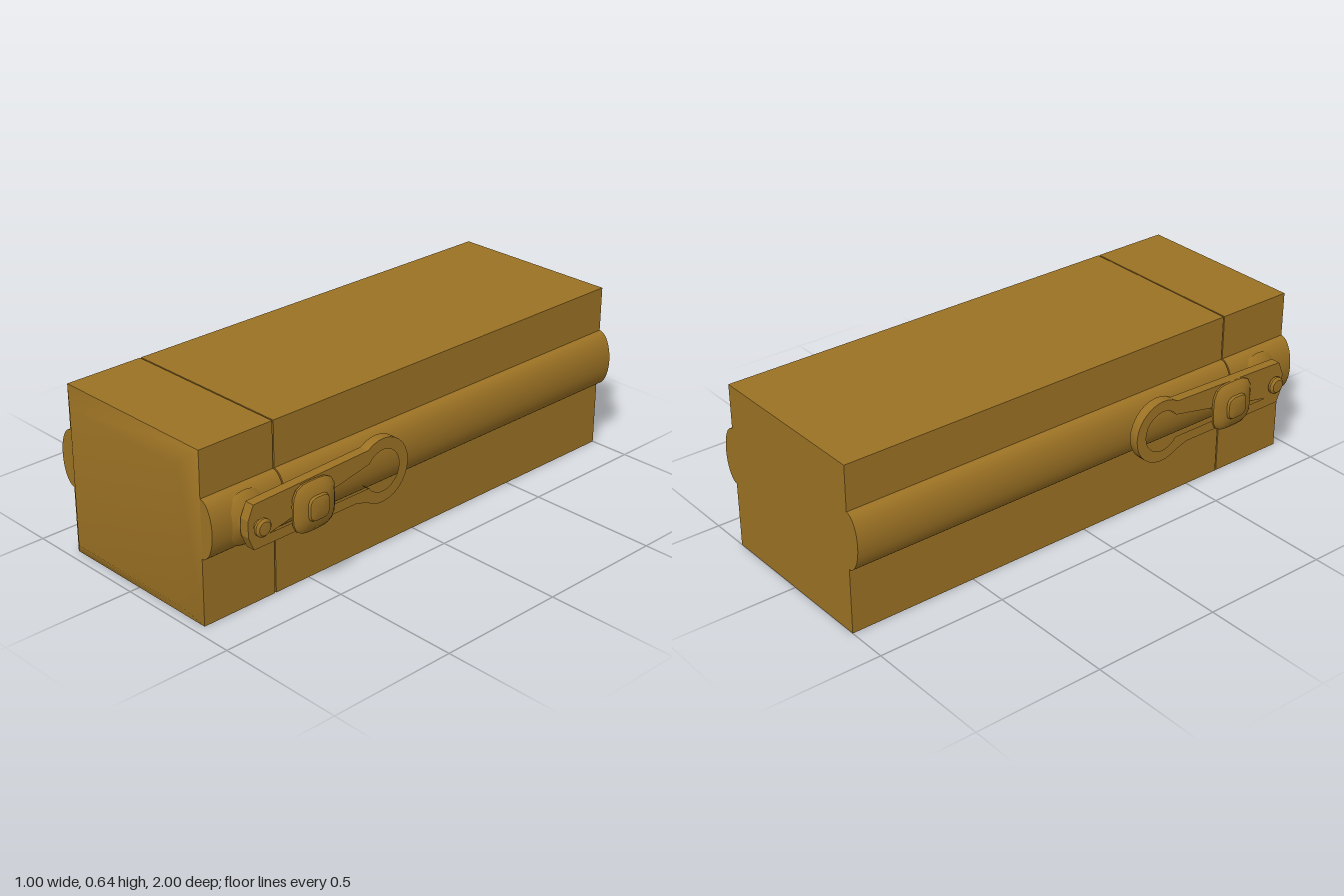
import * as THREE from 'three';
import { toCreasedNormals } from 'three/addons/utils/BufferGeometryUtils.js';

const material = new THREE.MeshStandardMaterial({ color: 0x9c7224 });
const RIB_Y = 0.361;

function part(name, geometry, parent) {
  const mesh = new THREE.Mesh(geometry, material);
  mesh.name = name;
  parent.add(mesh);
  return mesh;
}

// Box section with a rounded rib along each side
function bodySection() {
  const s = new THREE.Shape();
  s.moveTo(-0.342, 0);
  s.lineTo(0.342, 0);
  s.lineTo(0.342, RIB_Y - 0.109);
  s.absellipse(0.342, RIB_Y, 0.055, 0.109, -Math.PI / 2, Math.PI / 2, false);
  s.lineTo(0.342, 0.642);
  s.lineTo(-0.342, 0.642);
  s.lineTo(-0.342, RIB_Y + 0.109);
  s.absellipse(-0.342, RIB_Y, 0.055, 0.109, Math.PI / 2, Math.PI * 1.5, false);
  s.closePath();
  return s;
}

function bodyBlock(z0, z1) {
  const g = new THREE.ExtrudeGeometry(bodySection(), { depth: z1 - z0, bevelEnabled: false, curveSegments: 12 });
  return toCreasedNormals(g.translate(0, 0, z0), 0.6);
}

// Chamfered front with soft normals
function frontPanel() {
  const positions = [];
  for (const [w, h, z] of [[0.342, 0.321, 0.96], [0.28, 0.258, 1]]) {
    for (const [sx, sy] of [[-1, -1], [1, -1], [1, 1], [-1, 1]]) {
      positions.push(sx * w, 0.321 + sy * h, z);
    }
  }
  const index = [4, 5, 6, 4, 6, 7];
  for (let i = 0; i < 4; i++) {
    const j = (i + 1) % 4;
    index.push(i, j, j + 4, i, j + 4, i + 4);
  }
  const g = new THREE.BufferGeometry();
  g.setAttribute('position', new THREE.Float32BufferAttribute(positions, 3));
  g.setIndex(index);
  g.computeVertexNormals();
  return g;
}

// Keyhole strap drawn in the side plane, centred on its ring
function strapGeometry() {
  const s = new THREE.Shape();
  s.moveTo(-0.12, 0.082);
  s.absarc(0, 0, 0.12, Math.PI - 0.96, -Math.PI + 0.96, true);
  s.lineTo(-0.12, -0.082);
  s.lineTo(-0.575, -0.082);
  s.lineTo(-0.598, -0.03);
  s.lineTo(-0.598, 0.03);
  s.lineTo(-0.575, 0.082);
  s.closePath();
  const hole = new THREE.Path();
  hole.moveTo(-0.51, 0.045);
  hole.absarc(0, 0, 0.078, Math.PI - 0.615, -Math.PI + 0.615, true);
  hole.lineTo(-0.51, -0.045);
  hole.closePath();
  s.holes.push(hole);
  const g = new THREE.ExtrudeGeometry(s, { depth: 0.037, bevelEnabled: false, curveSegments: 10 });
  return toCreasedNormals(g.rotateY(Math.PI / 2), 0.4);
}

// Turned part pointing along +x, profile given as [radius, x];
// squareness pushes the round section towards a rounded square
function turned(profile, z, squareness = 0) {
  const g = new THREE.LatheGeometry(profile.map(([r, x]) => new THREE.Vector2(r, x)), 24);
  const p = g.attributes.position;
  const n = 2 + squareness;
  for (let i = 0; i < p.count; i++) {
    const x = p.getX(i), w = p.getZ(i), r = Math.hypot(x, w);
    if (r < 1e-6) continue;
    const k = 1 / Math.pow(Math.pow(Math.abs(x / r), n) + Math.pow(Math.abs(w / r), n), 1 / n);
    p.setX(i, x * k);
    p.setZ(i, w * k);
  }
  g.rotateZ(-Math.PI / 2).translate(0, RIB_Y, z);
  return toCreasedNormals(g, 0.6);
}

function fastener(side) {
  const g = new THREE.Group();
  g.name = side > 0 ? 'leftFastener' : 'rightFastener';

  const strap = part('keyholeStrap', strapGeometry(), g);
  strap.position.set(side > 0 ? 0.412 : 0.42, RIB_Y, 0.257);

  part('knobStem', turned([[0.06, 0.38], [0.045, 0.402], [0.034, 0.415], [0.034, 0.465]], 0.585), g);
  part('turnKnob', turned([
    [0, 0.456], [0.085, 0.456], [0.092, 0.46], [0.092, 0.468], [0.076, 0.482],
    [0.046, 0.489], [0.042, 0.497], [0.034, 0.5], [0, 0.5],
  ], 0.587, 1.6), g);

  part('pivotBoss', turned([[0.1, 0.375], [0.085, 0.392], [0.06, 0.401], [0.04, 0.413], [0.034, 0.425]], 0.805), g);
  part('pivotPin', turned([
    [0.022, 0.41], [0.022, 0.458], [0.033, 0.463], [0.033, 0.472], [0.024, 0.48], [0, 0.482],
  ], 0.81), g);

  g.scale.x = side;
  return g;
}

export function createModel() {
  const model = new THREE.Group();
  model.name = 'strappedCase';

  // Case in two pieces with a fine seam
  part('caseBody', bodyBlock(-1, 0.648), model);
  part('caseLid', bodyBlock(0.653, 0.96), model);
  part('frontPanel', frontPanel(), model);

  for (const side of [1, -1]) model.add(fastener(side));
  return model;
}
